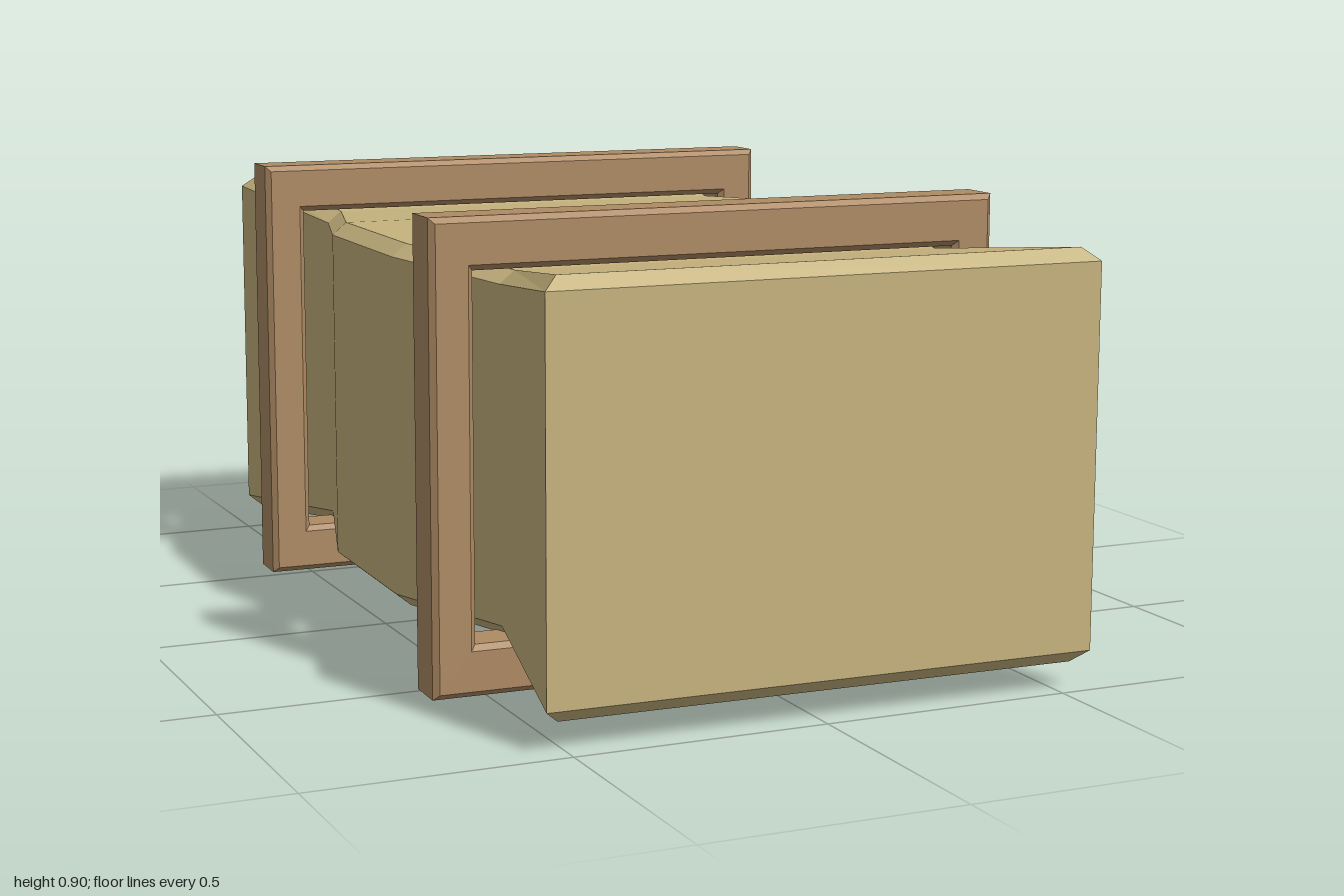
import * as THREE from 'three';

const clothMat = new THREE.MeshStandardMaterial({ color: 0xc6b37e, flatShading: true });
const frameMat = new THREE.MeshStandardMaterial({ color: 0xae8b64, flatShading: true });

// Eight-cornered section, counterclockwise from the front; top and bottom
// corners are chamfered, and pulled back by zIn at the two ends.
function section(z, halfW, y0, y1, zIn = 0) {
  const cx = 0.03, cy = 0.025, w = halfW, zi = z - zIn;
  return [
    [w, y0 + cy, z], [w, y1 - cy, z], [w - cx, y1, zi], [-w + cx, y1, zi],
    [-w, y1 - cy, z], [-w, y0 + cy, z], [-w + cx, y0, zi], [w - cx, y0, zi],
  ];
}

function bundleGeometry() {
  const rings = [
    section(-0.987, 0.55, 0.052, 0.842, -0.025),
    section(-0.55, 0.472, 0.095, 0.797),
    section(-0.2, 0.567, 0.085, 0.812),
    section(0.2, 0.567, 0.085, 0.812),
    section(0.55, 0.472, 0.095, 0.797),
    section(0.987, 0.55, 0.052, 0.842, 0.025),
  ];
  const pos = [];
  const quad = (a, b, c, d) => pos.push(...a, ...b, ...c, ...a, ...c, ...d);
  // Skin between neighbouring sections
  for (let i = 0; i < rings.length - 1; i++) {
    for (let j = 0; j < 8; j++) {
      const k = (j + 1) % 8;
      quad(rings[i][j], rings[i][k], rings[i + 1][k], rings[i + 1][j]);
    }
  }
  // End faces with their upper and lower chamfers
  const f = rings[rings.length - 1], b = rings[0];
  for (const [p, q, r, s] of [[0, 1, 4, 5], [1, 2, 3, 4], [5, 6, 7, 0]]) {
    quad(f[p], f[q], f[r], f[s]);
    quad(b[s], b[r], b[q], b[p]);
  }
  const geo = new THREE.BufferGeometry();
  geo.setAttribute('position', new THREE.Float32BufferAttribute(pos, 3));
  geo.computeVertexNormals();
  return geo;
}

function rectangle(target, x, y0, y1) {
  target.moveTo(-x, y0);
  target.lineTo(x, y0);
  target.lineTo(x, y1);
  target.lineTo(-x, y1);
  target.closePath();
  return target;
}

// Rectangular frame with small bevels, centred on z
function frameGeometry() {
  const depth = 0.108, bevel = 0.011;
  const shape = rectangle(new THREE.Shape(), 0.584, 0, 0.905);
  shape.holes.push(rectangle(new THREE.Path(), 0.499, 0.1, 0.805));
  const geo = new THREE.ExtrudeGeometry(shape, {
    depth: depth - 2 * bevel, bevelEnabled: true, bevelSegments: 1,
    bevelSize: bevel, bevelThickness: bevel, bevelOffset: -bevel,
  });
  geo.translate(0, 0, -depth / 2 + bevel);
  return geo;
}

export function createModel() {
  const model = new THREE.Group();
  model.name = 'strappedBundle';
  model.rotation.y = -0.0215;

  const bundle = new THREE.Mesh(bundleGeometry(), clothMat);
  bundle.name = 'bundle';
  bundle.position.x = 0.03;
  model.add(bundle);

  // Two frames squeezing the bundle
  const geo = frameGeometry();
  for (const [name, side] of [['frontFrame', 1], ['backFrame', -1]]) {
    const frame = new THREE.Mesh(geo, frameMat);
    frame.name = name;
    frame.position.set(-0.009, 0, side * 0.55 - 0.008);
    model.add(frame);
  }

  const root = new THREE.Group();
  root.name = 'bundleModel';
  root.add(model);
  return root;
}
